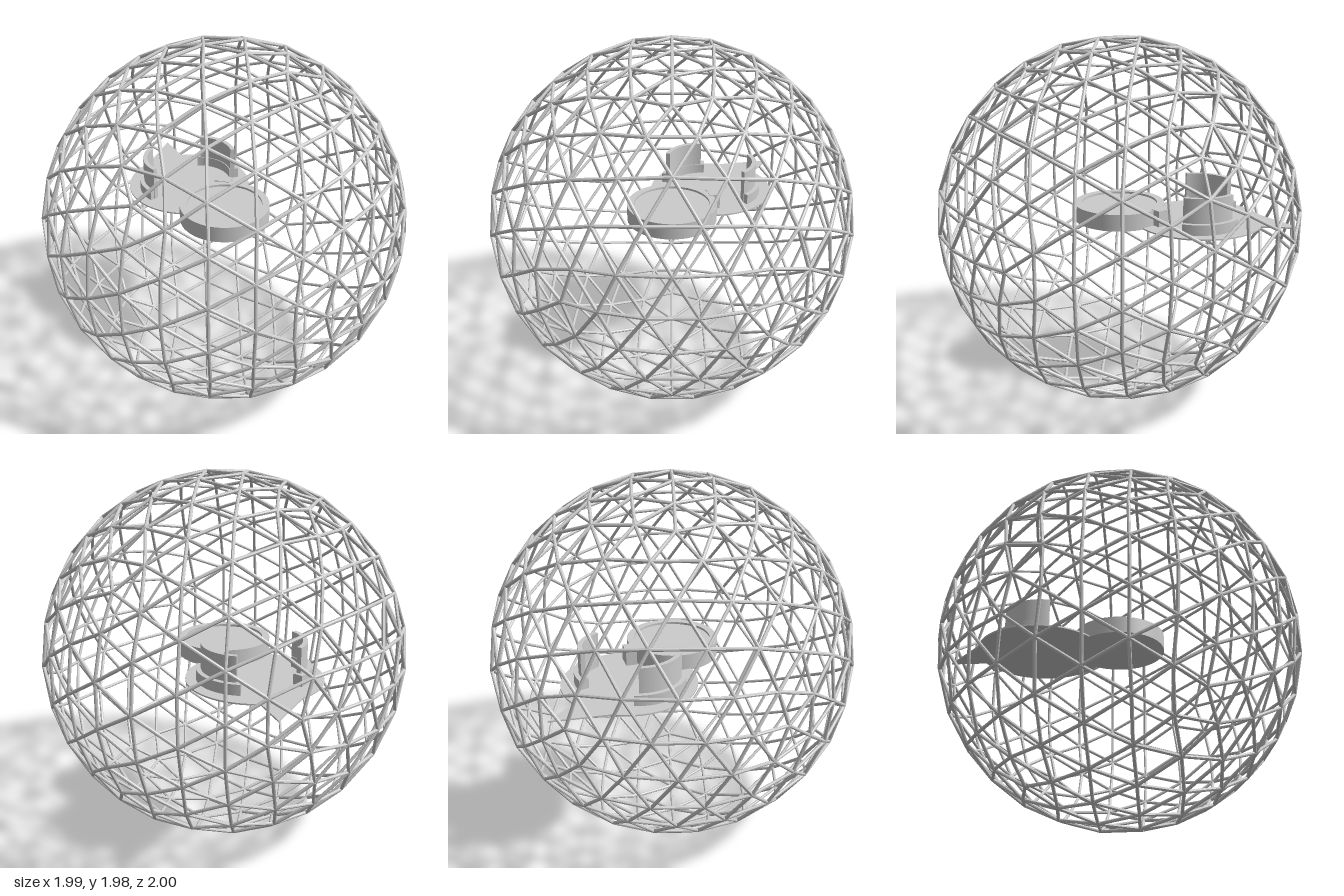
import * as THREE from 'three';
import { mergeGeometries } from 'three/addons/utils/BufferGeometryUtils.js';

const R = 0.99;          // sphere radius to strut centres
const STRUT = 0.009;     // strut radius
const CENTRE_Y = 0.991;
const FLOOR_Y = 0.988;
const FREQ = 5;          // subdivisions per icosahedron edge

const grey = new THREE.MeshStandardMaterial({ color: 0xcccccc, side: THREE.DoubleSide });
const greyFlat = new THREE.MeshStandardMaterial({ color: 0xcccccc, flatShading: true });

function addMesh(parent, name, geometry, material = grey) {
  const mesh = new THREE.Mesh(geometry, material);
  mesh.name = name;
  parent.add(mesh);
  return mesh;
}

// Icosahedron faces with the poles on the z axis and one front ring corner towards +x
function icosahedronFaces() {
  const ring = (start, z) => Array.from({ length: 5 }, (_, k) => {
    const a = start + k * Math.PI * 0.4, r = 2 / Math.sqrt(5);
    return new THREE.Vector3(r * Math.cos(a), r * Math.sin(a), z);
  });
  const front = new THREE.Vector3(0, 0, 1), back = new THREE.Vector3(0, 0, -1);
  const u = ring(0, 1 / Math.sqrt(5));
  const l = ring(Math.PI / 5, -1 / Math.sqrt(5));
  const faces = [];
  for (let k = 0; k < 5; k++) {
    const n = (k + 1) % 5;
    faces.push([front, u[k], u[n]], [l[k], u[k], u[n]], [u[n], l[k], l[n]], [back, l[k], l[n]]);
  }
  return faces;
}

// Lattice: every unique edge of the subdivided icosahedron becomes a strut
function latticeGeometry() {
  const seen = new Set(), parts = [];
  const up = new THREE.Vector3(0, 1, 0);
  const key = p => p.toArray().map(v => Math.round(v * 1000)).join();
  const strut = (a, b) => {
    const id = [key(a), key(b)].sort().join('|');
    if (seen.has(id)) return;
    seen.add(id);
    const dir = b.clone().sub(a);
    const g = new THREE.CylinderGeometry(STRUT, STRUT, dir.length(), 8, 1);
    g.applyQuaternion(new THREE.Quaternion().setFromUnitVectors(up, dir.normalize()));
    const mid = a.clone().add(b).multiplyScalar(0.5);
    parts.push(g.translate(mid.x, mid.y, mid.z));
  };
  for (const [a, b, c] of icosahedronFaces()) {
    const point = (i, j) => a.clone().multiplyScalar(FREQ - i)
      .addScaledVector(b, i - j).addScaledVector(c, j).normalize().multiplyScalar(R);
    for (let i = 1; i <= FREQ; i++) {
      for (let j = 0; j < i; j++) {
        const top = point(i - 1, j), p = point(i, j), q = point(i, j + 1);
        strut(top, p);
        strut(top, q);
        strut(p, q);
      }
    }
  }
  return mergeGeometries(parts);
}

// Extrude a plan drawn as (x, -z) upward from the floor
function extrudeUp(shape, height) {
  return new THREE.ExtrudeGeometry(shape, { depth: height, bevelEnabled: false, curveSegments: 32 })
    .rotateX(-Math.PI / 2);
}

// Curved wall plan between two radii and two angles
function arcShape(inner, outer, from, to) {
  const s = new THREE.Shape();
  s.absarc(0, 0, outer, from, to, false);
  s.absarc(0, 0, inner, to, from, true);
  s.closePath();
  return s;
}

export function createModel() {
  const model = new THREE.Group();
  model.name = 'latticeSphereWithDeck';

  const lattice = addMesh(model, 'sphereLattice', latticeGeometry(), greyFlat);
  lattice.position.y = CENTRE_Y;

  const deck = new THREE.Group();
  deck.name = 'deck';
  deck.position.y = FLOOR_Y;
  model.add(deck);

  // Rear platform with its walkway to the sphere wall
  const plan = new THREE.Shape();
  const half = Math.asin(0.11 / 0.355);
  plan.moveTo(-0.11, 0.54);
  plan.absarc(0, 0, 0.355, Math.PI / 2 + half, Math.PI * 2.5 - half, false);
  plan.lineTo(0.11, 0.54);
  plan.closePath();
  const platform = addMesh(deck, 'rearPlatform', extrudeUp(plan, 0.008));
  platform.position.z = -0.44;

  // Round front dais with a raised rim
  const dais = new THREE.LatheGeometry([
    [0, 0], [0.25, 0], [0.25, 0], [0.25, 0.092], [0.25, 0.092],
    [0.21, 0.092], [0.21, 0.092], [0.21, 0.08], [0.21, 0.08], [0, 0.08],
  ].map(([x, y]) => new THREE.Vector2(x, y)), 48);
  addMesh(deck, 'frontDais', dais);

  // Curved consoles on a wider foot, mirrored left and right
  for (const [side, s] of [['left', 1], ['right', -1]]) {
    const arc = (inner, outer, from, to) => s > 0
      ? arcShape(inner, outer, from, to)
      : arcShape(inner, outer, Math.PI - to, Math.PI - from);
    const wall = addMesh(deck, side + 'ConsoleWall', extrudeUp(arc(0.2, 0.225, -0.32, 1.0), 0.2));
    const foot = addMesh(deck, side + 'ConsoleFoot', extrudeUp(arc(0.195, 0.25, -0.3, 1.1), 0.065));
    for (const part of [wall, foot]) part.position.set(s * 0.05, 0, -0.43);
  }

  // Small pedestal beside the step down to the dais
  const pedestal = addMesh(deck, 'pedestal', new THREE.BoxGeometry(0.06, 0.095, 0.09));
  pedestal.position.set(0.125, 0.0475, -0.24);
  pedestal.rotation.y = 0.8;

  return model;
}
